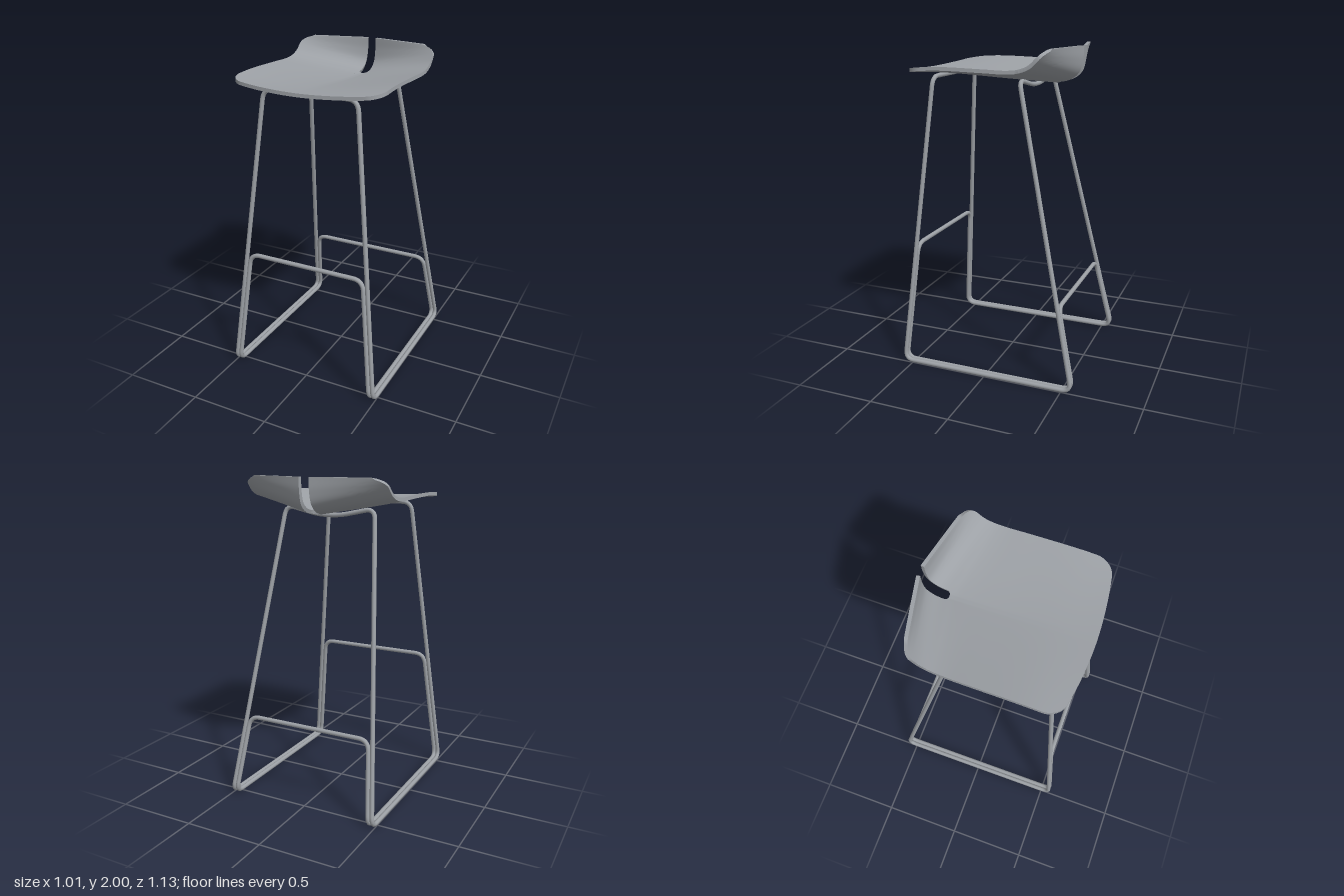
import * as THREE from 'three';
import { toCreasedNormals, mergeGeometries } from 'three/addons/utils/BufferGeometryUtils.js';

const HALF = 0.472, SLOT = 0.028, THICK = 0.021;
const V = (x, y, z) => new THREE.Vector3(x, y, z);
const round = (d) => 1 - Math.sqrt(Math.max(0, 1 - d * d));

// Lengthwise seat profiles (z, y), front lip to top of the back
const profile = (pts) => new THREE.CatmullRomCurve3(pts.map(([z, y]) => V(0, y, z)), false, 'centripetal');
const centreProfile = profile([[0.535, 1.85], [0.3, 1.836], [0, 1.813], [-0.2, 1.801], [-0.3, 1.799],
  [-0.375, 1.812], [-0.422, 1.85], [-0.44, 1.92], [-0.443, 2.0]]);
const edgeProfile = profile([[0.535, 1.872], [0.3, 1.889], [0, 1.885], [-0.14, 1.882], [-0.21, 1.89],
  [-0.265, 1.912], [-0.305, 1.948], [-0.33, 1.978], [-0.345, 2.0]]);

// Seat top surface: blends from the centre profile to the side profile
function seatPoint(x, s) {
  const power = 1.7 - 0.7 * Math.min(1, s / 0.5);
  const a = Math.pow(Math.min(1, Math.abs(x) / HALF), power);
  const p = centreProfile.getPoint(s).lerp(edgeProfile.getPoint(s), a);
  p.x = x * (1 - 0.035 * s);
  return p;
}

// Point on the underside, one thickness along the normal
function underPoint(x, s) {
  const e = 0.004;
  const s0 = Math.max(0, s - e), s1 = Math.min(1, s + e);
  const dx = seatPoint(x + e, s).sub(seatPoint(x - e, s));
  const ds = seatPoint(x, s1).sub(seatPoint(x, s0));
  const p = seatPoint(x, s).addScaledVector(dx.cross(ds).normalize(), -THICK);
  p.y = s > 0.99 ? 2.0 : p.y; // level top rim
  return p;
}

// Where each lengthwise column begins (front) and ends (back)
const frontLimit = (x) => {
  const ax = Math.abs(x);
  return 0.52 * (0.04 * (ax / 0.4) ** 2 + 0.10 * round(Math.max(0, (ax - 0.385) / (HALF - 0.385))));
};
const backLimit = (x) => 1 - 0.26 * round(Math.max(0, (Math.abs(x) - 0.37) / (HALF - 0.37)));
const slotLimit = (x) => 0.5 + 0.044 * round(x / SLOT);

// Closed sheet with top, underside and rim
function panel(xs, endLimit, rows) {
  const nx = xs.length, pos = [], top = [], under = [];
  for (let j = 0; j <= rows; j++) {
    for (const x of xs) {
      const s = THREE.MathUtils.lerp(frontLimit(x), endLimit(x), j / rows);
      top.push(seatPoint(x, s));
      under.push(underPoint(x, s));
    }
  }
  const quad = (a, b, c, d) => [a, b, c, a, c, d].forEach((p) => pos.push(p.x, p.y, p.z));
  const id = (i, j) => j * nx + i;
  for (let j = 0; j < rows; j++) {
    for (let i = 0; i < nx - 1; i++) {
      const k = [id(i, j), id(i + 1, j), id(i + 1, j + 1), id(i, j + 1)];
      quad(...k.map((n) => top[n]));
      quad(...k.reverse().map((n) => under[n]));
    }
  }
  const rim = [];
  for (let i = 0; i < nx - 1; i++) rim.push(id(i, 0));
  for (let j = 0; j < rows; j++) rim.push(id(nx - 1, j));
  for (let i = nx - 1; i > 0; i--) rim.push(id(i, rows));
  for (let j = rows; j > 0; j--) rim.push(id(0, j));
  rim.forEach((a, n) => {
    const b = rim[(n + 1) % rim.length];
    quad(under[a], under[b], top[b], top[a]);
  });
  const g = new THREE.BufferGeometry();
  g.setAttribute('position', new THREE.Float32BufferAttribute(pos, 3));
  return toCreasedNormals(g, 0.7);
}

function seatGeometry() {
  const half = [], strip = [];
  for (let i = 0; i <= 26; i++) half.push(SLOT + (HALF - SLOT) * Math.sin((i / 26) * Math.PI / 2));
  for (let i = 0; i <= 10; i++) strip.push(-SLOT * Math.cos((i / 10) * Math.PI));
  const mirrored = half.map((x) => -x).reverse();
  return mergeGeometries([panel(half, backLimit, 48), panel(mirrored, backLimit, 48), panel(strip, slotLimit, 24)]);
}

// Closed rod through the corners, each one rounded
function rodLoop(corners, trim, segments) {
  const path = new THREE.CurvePath();
  const n = corners.length;
  const toward = (a, b) => a.clone().addScaledVector(b.clone().sub(a).normalize(), trim);
  corners.forEach((c, i) => {
    const prev = corners[(i + n - 1) % n], next = corners[(i + 1) % n];
    path.add(new THREE.QuadraticBezierCurve3(toward(c, prev), c, toward(c, next)));
    path.add(new THREE.LineCurve3(toward(c, next), toward(next, c)));
  });
  path.arcLengthDivisions = 1000;
  return new THREE.TubeGeometry(path, segments, 0.0138, 10, true);
}

// Centre line of a leg at height y
const legPoint = (y, front, inset = 0) => {
  const h = y - 0.014;
  return V(0.493 - inset - 0.107 * h, y, front ? 0.556 - 0.089 * h : -0.564 + 0.226 * h);
};
const flip = (p) => V(-p.x, p.y, p.z);

export function createModel() {
  const grey = new THREE.MeshStandardMaterial({ color: 0x9ca0a5 });
  grey.name = 'grey';
  const model = new THREE.Group();
  model.name = 'barStool';
  const add = (name, geometry) => {
    const mesh = new THREE.Mesh(geometry, grey);
    mesh.name = name;
    model.add(mesh);
  };

  add('seat', seatGeometry());

  // Outer rod: floor runners, legs and the two bars under the seat
  const outer = [legPoint(0.014, true), legPoint(1.815, true)];
  const outerBack = [V(0.07, 1.766, -0.16), legPoint(1.815, false), legPoint(0.014, false)];
  add('legFrame', rodLoop([
    ...outer, ...outer.map(flip).reverse(),
    ...outerBack.map(flip).reverse(), ...outerBack,
  ], 0.062, 700));

  // Inner rod: beside the outer one, crossing over as footrests
  const inner = [legPoint(0.014, true, 0.027), legPoint(0.778, true, 0.027)];
  const innerBack = [legPoint(0.505, false, 0.027), legPoint(0.014, false, 0.027)];
  add('footrestFrame', rodLoop([
    ...inner, ...inner.map(flip).reverse(),
    ...innerBack.map(flip).reverse(), ...innerBack,
  ], 0.065, 500));

  return model;
}
